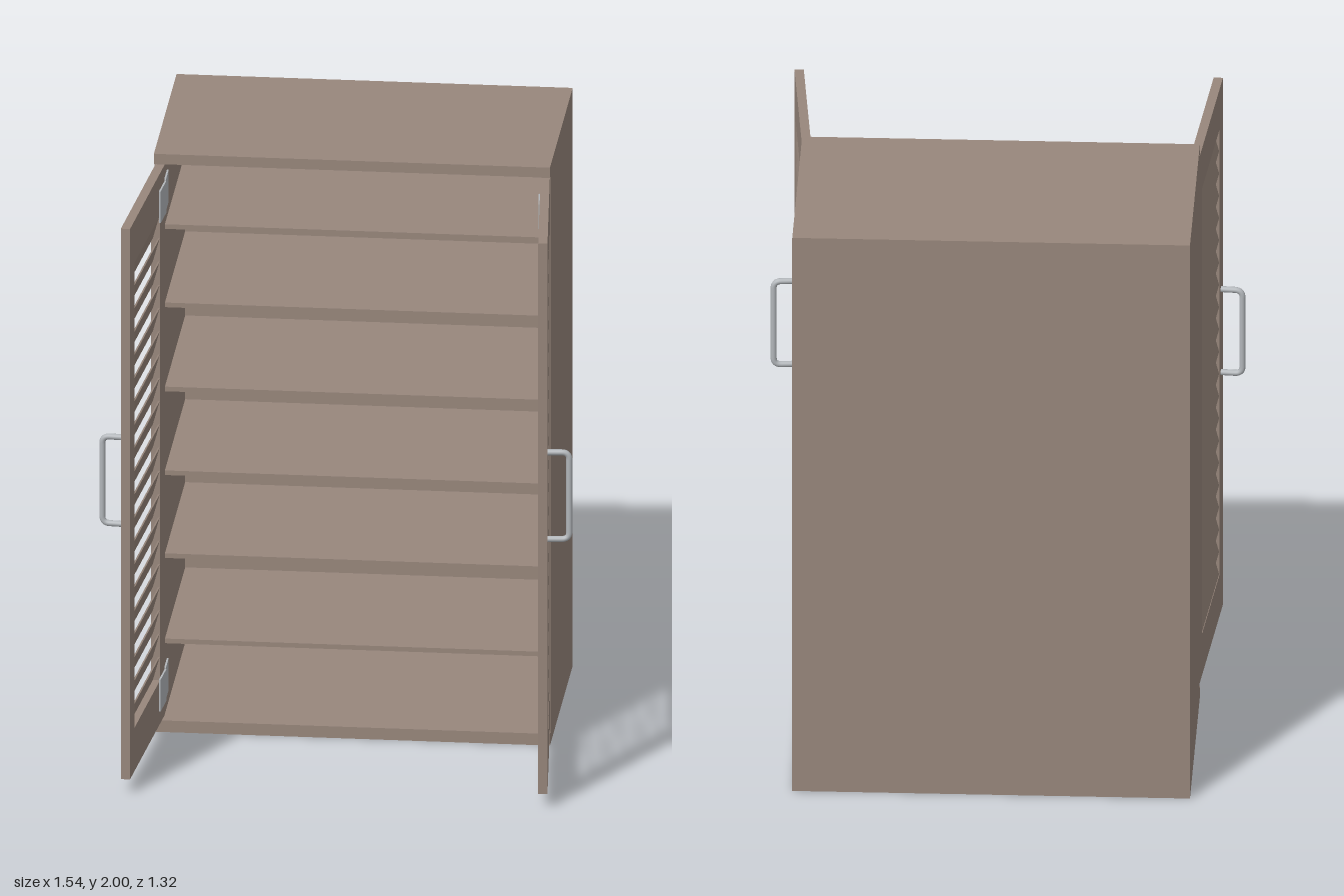
import * as THREE from 'three';

export function createModel() {
  const wood = new THREE.MeshStandardMaterial({ name: 'brown wood', color: 0x98877c });
  const metal = new THREE.MeshStandardMaterial({ name: 'grey metal', color: 0xb2b6ba });
  const model = new THREE.Group();
  model.name = 'louvredCabinet';

  function add(parent, name, geometry, material, x = 0, y = 0, z = 0) {
    const mesh = new THREE.Mesh(geometry, material);
    mesh.name = name;
    mesh.position.set(x, y, z);
    parent.add(mesh);
    return mesh;
  }
  // Box given by its lower and upper corners
  function box(parent, name, material, [x0, y0, z0], [x1, y1, z1]) {
    return add(parent, name, new THREE.BoxGeometry(x1 - x0, y1 - y0, z1 - z0), material,
      (x0 + x1) / 2, (y0 + y1) / 2, (z0 + z1) / 2);
  }

  // Carcass: lids stand proud of the sides to cover the closed doors
  const W = 0.645, T = 0.03, BACK = -0.66, FRONT = 0.08, SIDE = 0.055;
  box(model, 'topPanel', wood, [-W, 1.965, BACK], [W, 2, FRONT]);
  box(model, 'bottomPanel', wood, [-W, 0, BACK], [W, 0.04, FRONT]);
  box(model, 'backPanel', wood, [-W + T, 0.04, BACK], [W - T, 1.965, BACK + 0.02]);
  for (const y of [0.293, 0.588, 0.875, 1.165, 1.456, 1.727]) {
    box(model, 'shelf', wood, [-W + T, y - 0.008, BACK + 0.02], [W - T, y + 0.008, 0.02]);
  }

  // Door frame outline with its louvre opening, drawn in z and y
  const LEN = 0.605, Z0 = 0.08, Z1 = 0.522, Y0 = 0.2, Y1 = 1.81;
  const rect = (Path, a, b, c, d) => new Path([[a, b], [c, b], [c, d], [a, d]].map(p => new THREE.Vector2(...p)));
  const outline = rect(THREE.Shape, 0, 0.05, LEN, 1.955);
  outline.holes.push(rect(THREE.Path, Z0, Y0, Z1, Y1));
  const SLATS = 20, PITCH = (Y1 - Y0) / SLATS;

  for (const s of [1, -1]) {
    const side = s > 0 ? 'left' : 'right';
    add(model, side + 'SidePanel', new THREE.BoxGeometry(T, 1.925, SIDE - BACK), wood,
      s * (W - T / 2), 1.0025, (SIDE + BACK) / 2);

    // Door swung open on its hinges, slightly past square
    const door = new THREE.Group();
    door.name = side + 'Door';
    door.position.set(s * 0.642, 0, SIDE);
    door.rotation.y = s * THREE.MathUtils.degToRad(5);
    model.add(door);
    const frame = new THREE.ExtrudeGeometry(outline, { depth: T, bevelEnabled: false });
    frame.rotateY(-Math.PI / 2);
    add(door, 'doorFrame', frame, wood, s > 0 ? 0 : T);

    // Slats slope down towards the outer face
    for (let i = 0; i < SLATS; i++) {
      const slat = add(door, 'louvreSlat', new THREE.BoxGeometry(0.005, 0.083, Z1 - Z0), wood,
        -s * T / 2, Y0 + (i + 0.5) * PITCH, (Z0 + Z1) / 2);
      slat.rotation.z = s * 0.27;
    }

    // Bar handle with rounded corners
    const hx = s * 0.07, r = 0.025, lo = 0.915, hi = 1.215, hz = 0.557;
    const v = (x, y) => new THREE.Vector3(x, y, hz);
    const path = new THREE.CurvePath();
    path.add(new THREE.LineCurve3(v(-s * 0.005, lo), v(hx - s * r, lo)));
    path.add(new THREE.QuadraticBezierCurve3(v(hx - s * r, lo), v(hx, lo), v(hx, lo + r)));
    path.add(new THREE.LineCurve3(v(hx, lo + r), v(hx, hi - r)));
    path.add(new THREE.QuadraticBezierCurve3(v(hx, hi - r), v(hx, hi), v(hx - s * r, hi)));
    path.add(new THREE.LineCurve3(v(hx - s * r, hi), v(-s * 0.005, hi)));
    add(door, 'handle', new THREE.TubeGeometry(path, 100, 0.01, 12), metal);

    // Hinge leaves on the door and on the inside of the cabinet
    for (const y of [0.155, 1.845]) {
      add(door, 'hingeDoorLeaf', new THREE.BoxGeometry(0.006, 0.11, 0.1), metal, -s * (T + 0.003), y, 0.05);
      add(model, 'hingeCabinetLeaf', new THREE.BoxGeometry(0.006, 0.11, 0.1), metal,
        s * (W - T - 0.003), y, SIDE - 0.05);
    }
  }
  return model;
}
